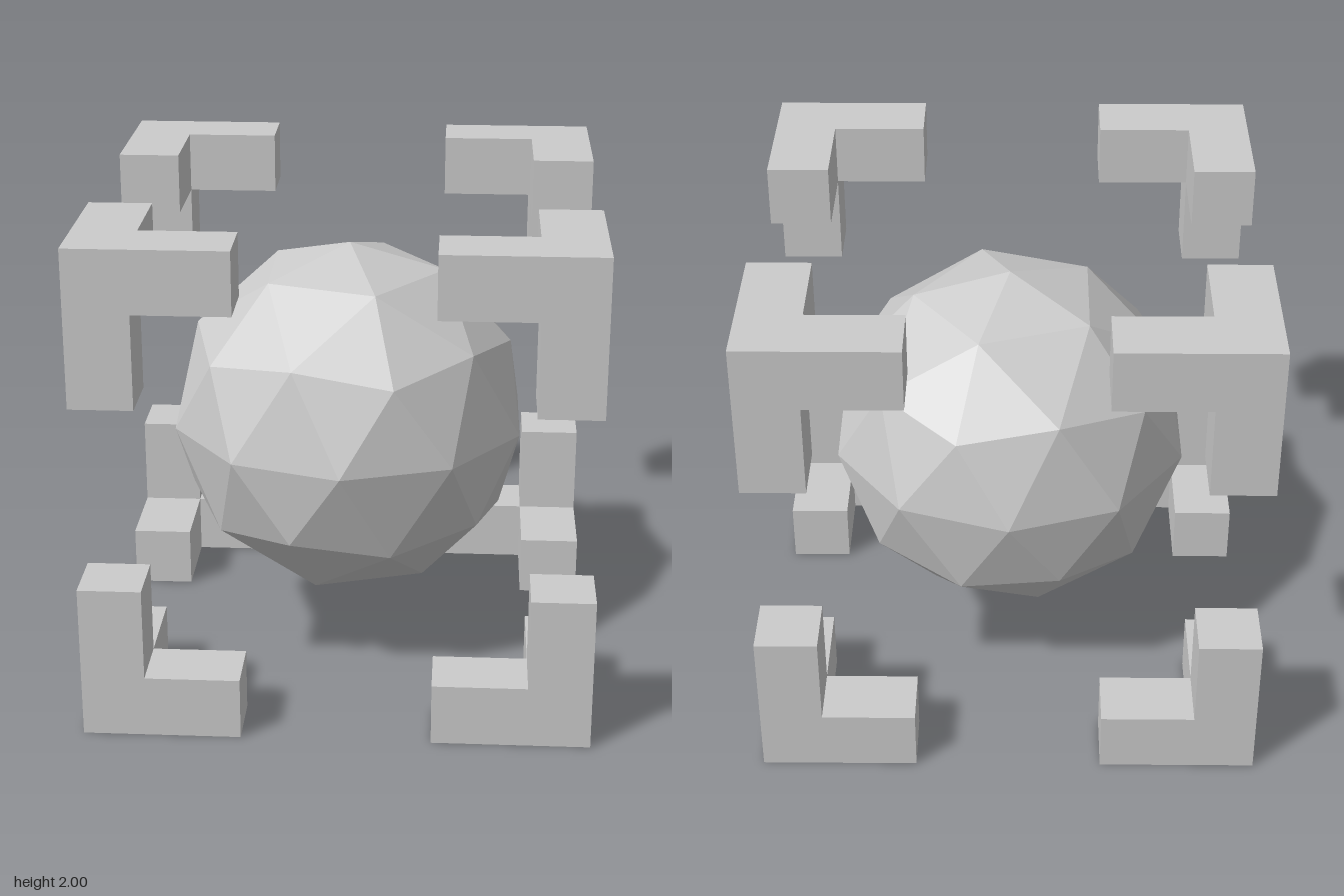
import * as THREE from 'three';
import { mergeGeometries } from 'three/addons/utils/BufferGeometryUtils.js';

const ARM = 0.625, THICK = 0.25, RADIUS = 0.745;

// Faceted ball: an icosahedron standing on a vertex, each face split in four
function ballGeometry() {
  const h = 1 / Math.sqrt(5), r = 2 * h;
  const verts = [0, 1, 0, 0, -1, 0];
  for (let k = 0; k < 5; k++) {
    const a = (k * 2 * Math.PI) / 5, b = a + Math.PI / 5;
    verts.push(r * Math.cos(a), h, r * Math.sin(a)); // upper ring: 2 + 2k
    verts.push(r * Math.cos(b), -h, r * Math.sin(b)); // lower ring: 3 + 2k
  }
  const faces = [];
  for (let k = 0; k < 5; k++) {
    const n = (k + 1) % 5;
    const u = 2 + 2 * k, l = u + 1, u2 = 2 + 2 * n, l2 = u2 + 1;
    faces.push(0, u2, u, u, u2, l, l, u2, l2, l, l2, 1);
  }
  const geometry = new THREE.PolyhedronGeometry(verts, faces, RADIUS, 1);
  geometry.computeVertexNormals();
  return geometry;
}

// Rectangle facing -z, spanning x0..x1 and y0..y1
function backFace(x0, x1, y0, y1, z) {
  return new THREE.PlaneGeometry(x1 - x0, y1 - y0)
    .rotateY(Math.PI)
    .translate((x0 + x1) / 2, (y0 + y1) / 2, z);
}

// Three-armed bracket with its outer corner at (1, 1, 1), as one closed skin
function bracketGeometry() {
  const outline = [[0, 0], [-ARM, 0], [-ARM, -THICK], [-THICK, -THICK], [-THICK, -ARM], [0, -ARM]];
  const side = mergeGeometries([
    new THREE.ShapeGeometry(new THREE.Shape(outline.map(([x, y]) => new THREE.Vector2(x, y)))),
    backFace(-ARM, -THICK, -THICK, 0, -THICK),
    backFace(-THICK, 0, -ARM, -THICK, -THICK),
    backFace(-THICK, 0, -THICK, 0, -ARM), // arm end
  ]);
  // The same faces repeat for each axis: turn x to y, y to z, z to x
  const turn = new THREE.Matrix4().makeBasis(
    new THREE.Vector3(0, 1, 0), new THREE.Vector3(0, 0, 1), new THREE.Vector3(1, 0, 0));
  const sides = [side];
  for (let i = 0; i < 2; i++) sides.push(sides[i].clone().applyMatrix4(turn));
  return mergeGeometries(sides).translate(1, 1, 1);
}

export function createModel() {
  const model = new THREE.Group();
  model.name = 'ballInCornerBrackets';
  const material = new THREE.MeshStandardMaterial({ color: 0xcccccc, flatShading: true });

  const ball = new THREE.Mesh(ballGeometry(), material);
  ball.name = 'ball';
  ball.position.y = 1;
  model.add(ball);

  // Eight brackets, one at each corner of the surrounding cube
  const geometry = bracketGeometry();
  for (const level of ['upper', 'lower']) {
    for (let k = 0; k < 4; k++) {
      const bracket = new THREE.Mesh(geometry, material);
      bracket.name = `${level}CornerBracket${k + 1}`;
      bracket.position.y = 1;
      bracket.rotation.set(0, (k * Math.PI) / 2, level === 'lower' ? Math.PI : 0);
      model.add(bracket);
    }
  }
  return model;
}
